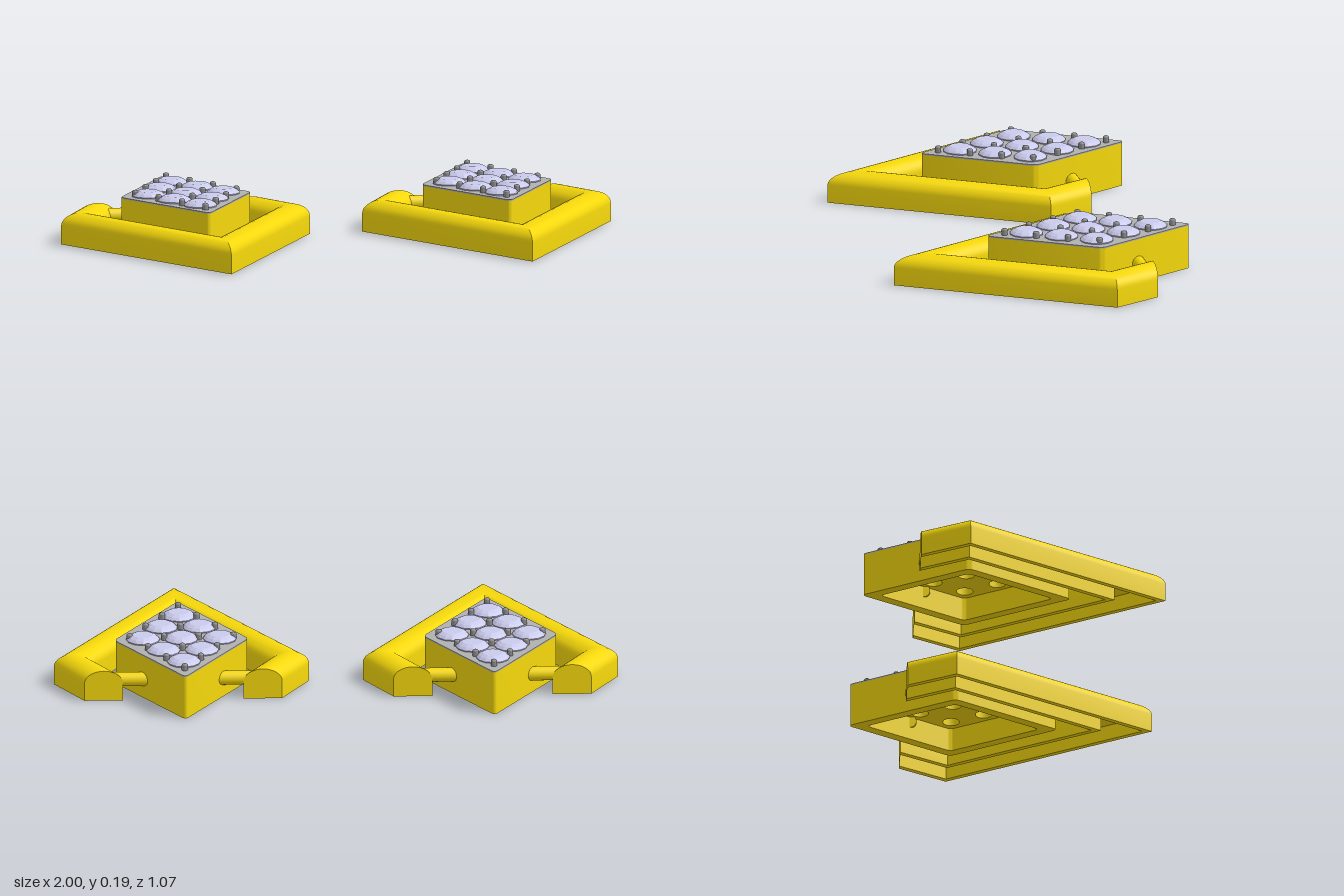
import * as THREE from 'three';
import { toCreasedNormals, mergeGeometries } from 'three/addons/utils/BufferGeometryUtils.js';

const gold = new THREE.MeshStandardMaterial({ color: 0xf5d80c });
const goldThin = new THREE.MeshStandardMaterial({ color: 0xf5d80c, side: THREE.DoubleSide });
const silver = new THREE.MeshStandardMaterial({ color: 0xb0b0b0 });
const prongGrey = new THREE.MeshStandardMaterial({ color: 0x8c8c8c });
const gem = new THREE.MeshStandardMaterial({ color: 0xcacaec, flatShading: true });

const CENTRE_Z = -0.175; // middle of the rhombic setting
const STEP_X = 0.068, STEP_Z = 0.1125; // stone lattice

function mesh(name, geometry, material) {
  const m = new THREE.Mesh(geometry, material);
  m.name = name;
  return m;
}

// Lattice coordinates (along the two rhombus edges) to plan position
const lattice = (i, j) => [(i - j) * STEP_X, (i + j) * STEP_Z];

// Domed rail section: t runs from the outer to the inner edge
function dome() {
  const pts = [[0, 0]];
  for (let k = 0; k <= 16; k++) {
    const a = (k / 16) * Math.PI;
    pts.push([(1 - Math.cos(a)) / 2, 0.065 + 0.046 * Math.sin(a)]);
  }
  pts.push([1, 0]);
  return pts;
}

// Mitred stations of the rail: [outer x, outer z, inner x, inner z]
const half = [[0.35, -0.35, 0.213, -0.35], [0.452, -0.18, 0.315, -0.18]];
const stations = [
  ...half.map(([a, b, c, d]) => [-a, b, -c, d]),
  [0, 0.53, 0, 0.315],
  ...half.slice().reverse(),
];

function railGeometry() {
  // Dome outside, open channel underneath
  const profile = [...dome(), [0.84, 0], [0.84, 0.055], [0.16, 0.055], [0.16, 0]];
  const n = profile.length, pos = [], index = [];
  for (const [ox, oz, ix, iz] of stations)
    for (const [t, y] of profile) pos.push(ox + (ix - ox) * t, y, oz + (iz - oz) * t);
  for (let s = 0; s < stations.length - 1; s++)
    for (let p = 0; p < n; p++) {
      const q = (p + 1) % n, a = s * n + p, b = s * n + q;
      index.push(a, a + n, b, b, a + n, b + n);
    }
  const g = new THREE.BufferGeometry();
  g.setAttribute('position', new THREE.Float32BufferAttribute(pos, 3));
  g.setIndex(index);
  return toCreasedNormals(g, 0.6);
}

// Flat D-shaped faces where the rail is cut off at the back
function endCap(side) {
  const pts = dome().map(([t, y]) => new THREE.Vector2(side * (0.35 - 0.137 * t), y));
  const g = new THREE.ShapeGeometry(new THREE.Shape(pts));
  g.translate(0, 0, -0.35);
  return g;
}

// Rhombus with slightly rounded corners
function rhombus(scale, Type = THREE.Shape) {
  const c = [[0.238, 0], [0, 0.372], [-0.238, 0], [0, -0.372]]
    .map(([x, y]) => new THREE.Vector2(x * scale, y * scale));
  const s = new Type();
  c.forEach((p, i) => {
    const a = p.clone().lerp(c[(i + 3) % 4], 0.05), b = p.clone().lerp(c[(i + 1) % 4], 0.05);
    if (i === 0) s.moveTo(a.x, a.y); else s.lineTo(a.x, a.y);
    s.quadraticCurveTo(p.x, p.y, b.x, b.y);
  });
  s.closePath();
  return s;
}

// Upright slab from a plan shape, between two heights
function slab(shape, y0, y1) {
  const g = new THREE.ExtrudeGeometry(shape, { depth: y1 - y0, bevelEnabled: false, curveSegments: 6 });
  g.rotateX(-Math.PI / 2);
  g.translate(0, y0, 0);
  return toCreasedNormals(g, 0.6);
}

function perforated(scale) {
  const s = rhombus(scale);
  for (let i = -1; i <= 1; i++)
    for (let j = -1; j <= 1; j++) {
      const [x, z] = lattice(i, j);
      s.holes.push(new THREE.Path().absarc(x, z, 0.03, 0, Math.PI * 2, true));
    }
  return s;
}

function createSetting() {
  const setting = new THREE.Group();
  setting.name = 'stoneSetting';
  setting.position.z = CENTRE_Z;

  // Hollow box, inner perforated floor and grey top plate
  const walls = rhombus(1);
  walls.holes.push(rhombus(0.82, THREE.Path));
  setting.add(mesh('settingWalls', slab(walls, 0, 0.156), gold));
  setting.add(mesh('settingFloor', slab(perforated(0.83), 0.085, 0.155), gold));
  setting.add(mesh('topPlate', slab(perforated(1), 0.156, 0.161), silver));

  // Faceted stones, three by three
  const profile = [[0, 0.12], [0.059, 0.16], [0.06, 0.165], [0.05, 0.174], [0.036, 0.181], [0, 0.181]]
    .map(([x, y]) => new THREE.Vector2(x, y));
  const stone = new THREE.LatheGeometry(profile, 12);
  for (let i = -1; i <= 1; i++)
    for (let j = -1; j <= 1; j++) {
      const [x, z] = lattice(i, j);
      const m = mesh('stone', stone, gem);
      m.position.set(x, 0, z);
      setting.add(m);
    }

  // Round-tipped prongs between the stones
  const post = new THREE.CylinderGeometry(0.011, 0.011, 0.022, 12, 1, true);
  post.translate(0, 0.168, 0);
  const tip = new THREE.SphereGeometry(0.011, 12, 5, 0, Math.PI * 2, 0, Math.PI / 2);
  tip.scale(1, 0.6, 1);
  tip.translate(0, 0.179, 0);
  const prong = mergeGeometries([post, tip]);
  const spots = [-1.35, -0.45, 0.45, 1.35];
  for (const i of spots)
    for (const j of spots) {
      const [x, z] = lattice(i, j);
      const m = mesh('prong', prong, prongGrey);
      m.position.set(x, 0, z);
      setting.add(m);
    }
  return setting;
}

function createEarring(name) {
  const earring = new THREE.Group();
  earring.name = name;
  earring.add(mesh('frameRail', railGeometry(), gold));
  for (const side of [-1, 1]) {
    earring.add(mesh('railEndCap', endCap(side), goldThin));
    // Short rod joining the rail to the setting
    const rod = mesh('connectingRod', new THREE.CylinderGeometry(0.025, 0.025, 0.17, 20), gold);
    rod.rotation.z = Math.PI / 2;
    rod.position.set(side * 0.185, 0.07, -0.324);
    earring.add(rod);
  }
  earring.add(createSetting());
  return earring;
}

export function createModel() {
  const model = new THREE.Group();
  model.name = 'earringPair';
  for (const [name, x] of [['leftEarring', 0.547], ['rightEarring', -0.547]]) {
    const e = createEarring(name);
    e.position.x = x;
    model.add(e);
  }
  return model;
}
